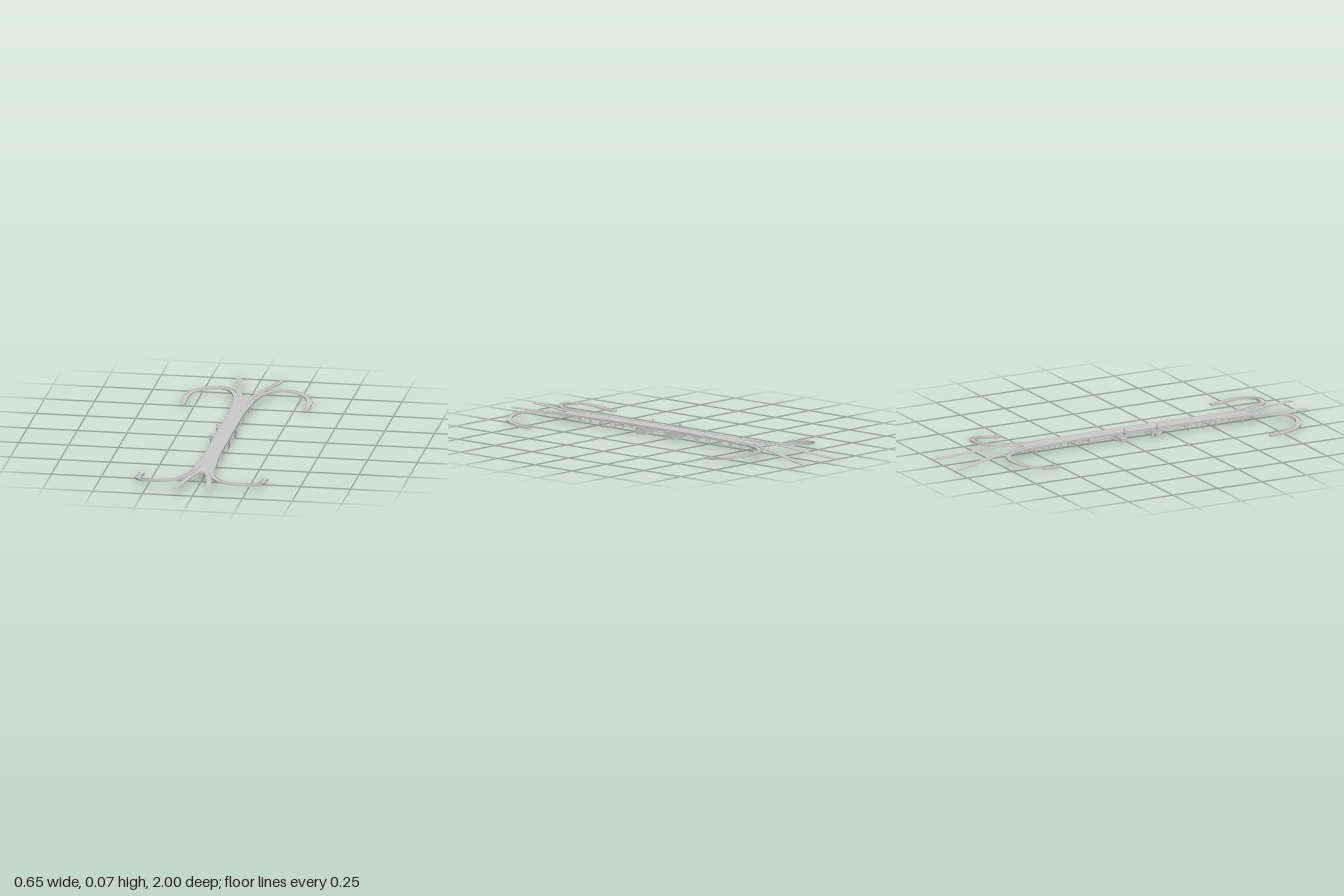
import * as THREE from 'three';

const MID = 0.08; // z of the bridge's middle
const mat = new THREE.MeshStandardMaterial({ color: 0xcccccc, flatShading: true, side: THREE.DoubleSide });

function add(parent, name, geo, x = 0, y = 0, z = 0) {
  const m = new THREE.Mesh(geo, mat);
  m.name = name;
  m.position.set(x, y, z);
  parent.add(m);
  return m;
}
const box = (p, name, w, h, d, x, y, z) => add(p, name, new THREE.BoxGeometry(w, h, d), x, y, z);

// A channel-shaped road swept along a path: slab with a kerb on each side
function road(points, halfWidth, { slab = 0.007, kerb = 0.003, lip = 0.003 } = {}) {
  const pos = [], idx = [], n = points.length;
  points.forEach((p, i) => {
    const t = points[Math.min(i + 1, n - 1)].clone().sub(points[Math.max(i - 1, 0)]);
    const side = new THREE.Vector3(t.z, 0, -t.x).normalize();
    const w = halfWidth(i / (n - 1)), k = w - lip;
    for (const [u, v] of [[-w, -slab], [w, -slab], [w, kerb], [k, kerb], [k, 0], [-k, 0], [-k, kerb], [-w, kerb]])
      pos.push(p.x + side.x * u, p.y + v, p.z + side.z * u);
  });
  for (let i = 0; i < n - 1; i++)
    for (let j = 0; j < 8; j++) {
      const a = i * 8 + j, b = i * 8 + (j + 1) % 8;
      idx.push(a, b, a + 8, b, b + 8, a + 8);
    }
  for (const o of [0, (n - 1) * 8])
    for (const q of [[0, 1, 4], [0, 4, 5], [1, 2, 3], [1, 3, 4], [0, 5, 6], [0, 6, 7]])
      idx.push(...(o ? q : [q[0], q[2], q[1]]).map(k => k + o));
  const g = new THREE.BufferGeometry();
  g.setAttribute('position', new THREE.Float32BufferAttribute(pos, 3));
  g.setIndex(idx);
  g.computeVertexNormals();
  return g;
}

// Height of the gently cambered deck at distance d from the middle
const deckY = d => 0.046 - 0.006 * Math.min(1, Math.abs(d) / 0.6) ** 2;
const deckHalf = d => 0.04 + 0.012 * THREE.MathUtils.smoothstep(Math.abs(d), 0.3, 0.63);

function strut(p, name, a, b, t) {
  const m = box(p, name, t, t, a.distanceTo(b), 0, 0, 0);
  m.position.copy(a).add(b).multiplyScalar(0.5);
  m.lookAt(b);
}

export function createModel() {
  const model = new THREE.Group();
  model.name = 'bridge';

  // Main deck
  const line = Array.from({ length: 43 }, (_, i) => {
    const d = -0.63 + i * 0.03;
    return new THREE.Vector3(0, deckY(d), MID + d);
  });
  add(model, 'mainDeck', road(line, f => deckHalf((f - 0.5) * 1.26), { kerb: 0.002 }));

  // Curved and straight ramps at both ends
  const loop = [[0.037, 0.039, 0.52], [0.041, 0.039, 0.59], [0.054, 0.039, 0.66], [0.08, 0.039, 0.73],
    [0.12, 0.039, 0.78], [0.18, 0.037, 0.797], [0.25, 0.03, 0.782], [0.295, 0.021, 0.74],
    [0.31, 0.014, 0.69], [0.31, 0.009, 0.64], [0.31, 0.007, 0.59]];
  const rear = [[0.013, 0.039, 0.58], [0.024, 0.039, 0.64], [0.04, 0.039, 0.69], [0.055, 0.038, 0.76],
    [0.073, 0.028, 0.86], [0.093, 0.014, 0.97], [0.113, 0.003, 1.08]];
  const front = [...rear.slice(0, 3), [0.055, 0.039, 0.76], [0.083, 0.039, 0.92]];
  const curve = (pts, sx, sz) => new THREE.CatmullRomCurve3(
    pts.map(([x, y, z]) => new THREE.Vector3(x * sx, y, MID + z * sz)));
  for (const sx of [-1, 1])
    for (const sz of [-1, 1]) {
      add(model, 'loopRamp', road(curve(loop, sx, sz).getSpacedPoints(56), () => 0.0135, { slab: 0.006, kerb: 0.004 }));
      add(model, 'straightRamp', road(curve(sz > 0 ? front : rear, sx, sz).getSpacedPoints(20),
        () => 0.0125, { slab: 0.003, kerb: 0.001 }));
    }

  // Slender columns with cross beams under the approach spans
  for (const s of [-1, 1])
    for (const d of [0.28, 0.36, 0.435, 0.505, 0.58]) {
      const z = MID + s * d, top = deckY(d) - 0.006;
      box(model, 'crossBeam', 0.076, 0.006, 0.008, 0, top - 0.003, z);
      for (const x of [-0.032, 0.032]) box(model, 'column', 0.006, top, 0.006, x, top / 2, z);
    }

  // Longitudinal girders
  for (const x of [-0.024, 0, 0.024]) box(model, 'girder', 0.004, 0.007, 1.14, x, 0.033, MID);

  // Lattice trusses under the central spans
  const v = (x, y, d) => new THREE.Vector3(x, y, MID + d);
  for (const x of [-0.032, 0.032])
    for (let i = 0; i < 18; i++) {
      const a = -0.27 + i * 0.03, b = a + 0.03;
      strut(model, 'lowerChord', v(x, 0.024, a), v(x, 0.024, b), 0.003);
      strut(model, 'trussDiagonal', v(x, i % 2 ? 0.024 : 0.039, a), v(x, i % 2 ? 0.039 : 0.024, b), 0.0025);
    }
  for (const d of [-0.27, 0.27]) box(model, 'endBearing', 0.08, 0.012, 0.016, 0, 0.025, MID + d);

  // Two main piers, each with recessed faces, a side house and a lookout post
  for (const [d, s] of [[0.1, 1], [-0.095, -1]]) {
    const pier = new THREE.Group();
    pier.name = 'mainPier';
    pier.position.set(0, 0, MID + d);
    model.add(pier);
    box(pier, 'pierCore', 0.06, 0.034, 0.04, 0.003, 0.017, 0);
    box(pier, 'pierFoot', 0.078, 0.006, 0.054, 0.003, 0.003, 0);
    box(pier, 'pierCap', 0.078, 0.006, 0.054, 0.003, 0.035, 0);
    for (const x of [-0.031, 0.037]) box(pier, 'pierButtress', 0.01, 0.034, 0.054, x, 0.017, 0);
    for (const z of [-0.022, 0.022]) {
      box(pier, 'pierLintel', 0.05, 0.006, 0.008, 0.003, 0.026, z);
      for (const x of [-0.018, 0.024]) box(pier, 'pierRib', 0.004, 0.028, 0.006, x, 0.016, z);
    }
    box(pier, 'sideHouse', 0.022, 0.018, 0.034, -0.047, 0.011, 0);
    const post = (name, r1, r2, h, y) =>
      add(pier, name, new THREE.CylinderGeometry(r1, r2, h, 8), -0.049, y, -0.006 * s);
    post('postStem', 0.004, 0.004, 0.03, 0.033);
    post('postBase', 0.009, 0.006, 0.008, 0.042);
    post('postCabin', 0.005, 0.005, 0.016, 0.053);
    post('postRoof', 0.006, 0.007, 0.007, 0.0645);
  }
  return model;
}
